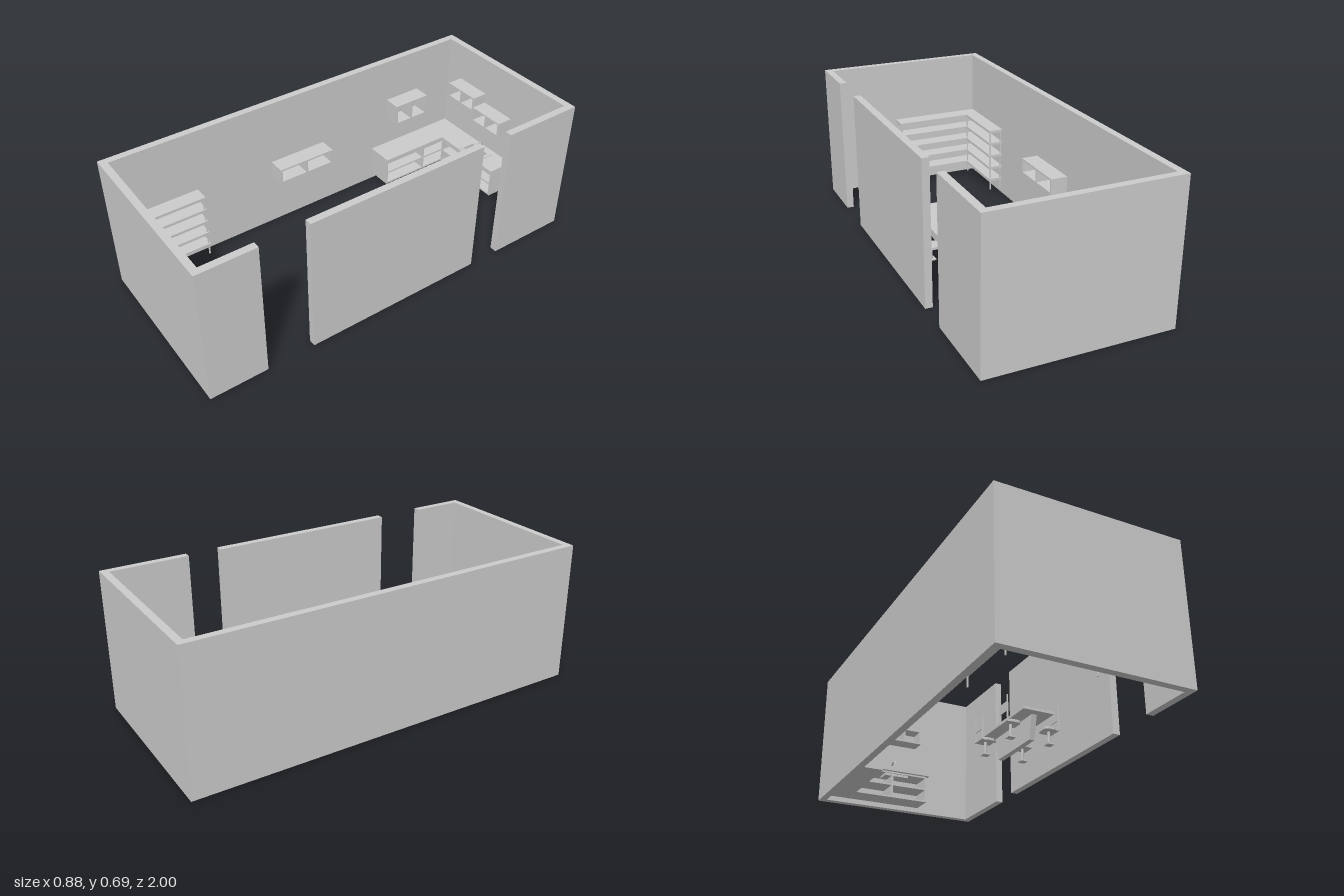
import * as THREE from 'three';

const material = new THREE.MeshStandardMaterial({ color: 0xcccccc, side: THREE.DoubleSide });

function addMesh(parent, name, geometry) {
  const mesh = new THREE.Mesh(geometry, material);
  mesh.name = name;
  parent.add(mesh);
  return mesh;
}

// Box given by its minimum and maximum along each axis
function box(parent, name, x0, x1, y0, y1, z0, z1) {
  const mesh = addMesh(parent, name, new THREE.BoxGeometry(x1 - x0, y1 - y0, z1 - z0));
  mesh.position.set((x0 + x1) / 2, (y0 + y1) / 2, (z0 + z1) / 2);
  return mesh;
}

// Plan outline of [x, z] points raised from y0 to y1, with optional holes
function slab(parent, name, outline, y0, y1, holes = []) {
  const toPoints = (list) => list.map(([x, z]) => new THREE.Vector2(x, -z));
  const shape = new THREE.Shape(toPoints(outline));
  holes.forEach((hole) => shape.holes.push(new THREE.Path(toPoints(hole))));
  const geometry = new THREE.ExtrudeGeometry(shape, { depth: y1 - y0, bevelEnabled: false });
  geometry.rotateX(-Math.PI / 2);
  const mesh = addMesh(parent, name, geometry);
  mesh.position.y = y0;
  return mesh;
}

const rectangle = (x0, x1, z0, z1) => [[x0, z0], [x1, z0], [x1, z1], [x0, z1]];

// Open-fronted case facing +z, back at z = 0, bottom at y = 0, centred on x
function openCase(parent, name, w, h, d, columns, rows, t = 0.009) {
  const group = new THREE.Group();
  group.name = name;
  parent.add(group);
  box(group, 'backPanel', -w / 2 + t, w / 2 - t, t, h - t, 0, 0.004);
  for (let i = 0; i <= columns; i++) {
    const x = -w / 2 + (i * (w - t)) / columns;
    box(group, 'upright', x, x + t, 0, h, 0, d);
  }
  for (let i = 0; i <= rows; i++) {
    const y = (i * (h - t)) / rows;
    box(group, 'board', -w / 2 + t, w / 2 - t, y, y + t, 0, d - 0.0005);
  }
  return group;
}

function buildWalls(room) {
  const o = 0.44, i = 0.405, e = 1, f = 0.965, h = 0.69;
  slab(room, 'walls', [
    [o, -0.59], [o, -e], [-o, -e], [-o, e], [o, e], [o, 0.72],
    [i, 0.72], [i, f], [-i, f], [-i, -f], [i, -f], [i, -0.59],
  ], 0, h);
  box(room, 'wallBetweenOpenings', i, o, 0, h, -0.43, 0.485);
}

function buildKitchen(room) {
  const kitchen = new THREE.Group();
  kitchen.name = 'kitchen';
  room.add(kitchen);

  // L-shaped worktop with a cut-out for the sink
  slab(kitchen, 'worktop', [
    [-0.405, -0.965], [0.12, -0.965], [0.12, -0.83],
    [-0.27, -0.83], [-0.27, -0.455], [-0.405, -0.455],
  ], 0.168, 0.193, [rectangle(-0.13, 0.003, -0.925, -0.85)]);

  // Base cabinets
  const side = openCase(kitchen, 'sideCabinet', 0.5, 0.143, 0.12, 2, 2);
  side.position.set(-0.405, 0.025, -0.715);
  side.rotation.y = Math.PI / 2;
  const back = openCase(kitchen, 'backCabinet', 0.395, 0.143, 0.12, 2, 2);
  back.position.set(-0.0875, 0.025, -0.965);

  // Sink and tap
  slab(kitchen, 'sinkRim', rectangle(-0.14, 0.012, -0.935, -0.843), 0.193, 0.197,
    [rectangle(-0.122, -0.005, -0.92, -0.855)]);
  slab(kitchen, 'sinkSides', rectangle(-0.129, 0.002, -0.924, -0.851), 0.15, 0.193,
    [rectangle(-0.122, -0.005, -0.92, -0.855)]);
  box(kitchen, 'sinkBottom', -0.129, 0.002, 0.146, 0.15, -0.924, -0.851);
  const tapPath = new THREE.CatmullRomCurve3([
    [0.195, -0.929], [0.232, -0.929], [0.243, -0.91], [0.24, -0.885], [0.232, -0.876],
  ].map(([y, z]) => new THREE.Vector3(-0.064, y, z)));
  addMesh(kitchen, 'tap', new THREE.TubeGeometry(tapPath, 16, 0.005, 8));

  // Wall cupboards
  openCase(kitchen, 'upperLeftCupboard', 0.195, 0.08, 0.083, 2, 1)
    .position.set(-0.2075, 0.42, -0.965);
  openCase(kitchen, 'upperRightCupboard', 0.195, 0.08, 0.083, 2, 1)
    .position.set(-0.0125, 0.367, -0.965);
  const sideCupboard = openCase(kitchen, 'sideCupboard', 0.2, 0.11, 0.087, 2, 1);
  sideCupboard.position.set(-0.405, 0.355, -0.645);
  sideCupboard.rotation.y = Math.PI / 2;
}

function buildCornerShelves(room) {
  const shelves = new THREE.Group();
  shelves.name = 'cornerShelves';
  room.add(shelves);
  for (let i = 0; i < 5; i++) {
    const y = 0.077 + i * 0.07;
    slab(shelves, 'shelf', [
      [-0.405, 0.57], [-0.33, 0.57], [-0.33, 0.88],
      [0.065, 0.88], [0.065, 0.965], [-0.405, 0.965],
    ], y, y + 0.014);
  }
  const posts = [[-0.397, 0.578], [-0.338, 0.578], [-0.338, 0.888],
    [-0.397, 0.957], [0.057, 0.888], [0.057, 0.957]];
  for (const [x, z] of posts) {
    box(shelves, 'post', x - 0.003, x + 0.003, 0.025, 0.358, z - 0.003, z + 0.003);
  }
}

function buildTable(room) {
  const table = new THREE.Group();
  table.name = 'table';
  room.add(table);
  box(table, 'tableTop', 0.085, 0.24, 0.138, 0.151, -0.155, 0.275);
  // Panel leg, longer at the top than at the foot
  const leg = new THREE.BoxGeometry(0.026, 0.113, 0.35);
  const p = leg.attributes.position;
  for (let i = 0; i < p.count; i++) if (p.getY(i) < 0) p.setZ(i, p.getZ(i) * 0.84);
  leg.computeVertexNormals();
  addMesh(table, 'tableLeg', leg).position.set(0.1625, 0.0815, 0.06);
}

// Chair facing +x with its pedestal at the local origin
function buildChair(room, x, z, turn) {
  const chair = new THREE.Group();
  chair.name = 'chair';
  room.add(chair);
  chair.position.set(x, 0, z);
  chair.rotation.y = turn;
  const seat = new THREE.Shape();
  const w = 0.0375, r = 0.022, b = -0.025, f = 0.037;
  seat.moveTo(b + r, -w);
  seat.lineTo(f - r, -w);
  seat.quadraticCurveTo(f, -w, f, -w + r);
  seat.lineTo(f, w - r);
  seat.quadraticCurveTo(f, w, f - r, w);
  seat.lineTo(b + r, w);
  seat.quadraticCurveTo(b, w, b, w - r);
  seat.lineTo(b, -w + r);
  seat.quadraticCurveTo(b, -w, b + r, -w);
  const seatGeometry = new THREE.ExtrudeGeometry(seat, { depth: 0.012, bevelEnabled: false, curveSegments: 6 });
  seatGeometry.rotateX(-Math.PI / 2);
  addMesh(chair, 'seat', seatGeometry).position.y = 0.09;
  addMesh(chair, 'stem', new THREE.CylinderGeometry(0.007, 0.007, 0.06, 12)).position.y = 0.06;
  box(chair, 'foot', -0.018, 0.018, 0.025, 0.032, -0.018, 0.018);
  // Back rest between two slim posts
  for (const s of [-1, 1]) {
    box(chair, 'backPost', -0.036, -0.03, 0.09, 0.217, s * 0.035 - 0.0025, s * 0.035 + 0.0025);
  }
  box(chair, 'backRest', -0.035, -0.031, 0.14, 0.185, -0.033, 0.033);
  box(chair, 'backRail', -0.036, -0.018, 0.09, 0.096, -0.033, 0.033);
}

export function createModel() {
  const room = new THREE.Group();
  room.name = 'room';
  buildWalls(room);
  buildKitchen(room);
  buildCornerShelves(room);

  // Low shelf box on the long wall
  const wallShelf = openCase(room, 'wallShelf', 0.305, 0.08, 0.087, 2, 1);
  wallShelf.position.set(-0.405, 0.28, 0.012);
  wallShelf.rotation.y = Math.PI / 2;

  buildTable(room);
  for (const z of [-0.06, 0.185]) {
    buildChair(room, 0.067, z, 0);
    buildChair(room, 0.265, z, Math.PI);
  }
  return room;
}
